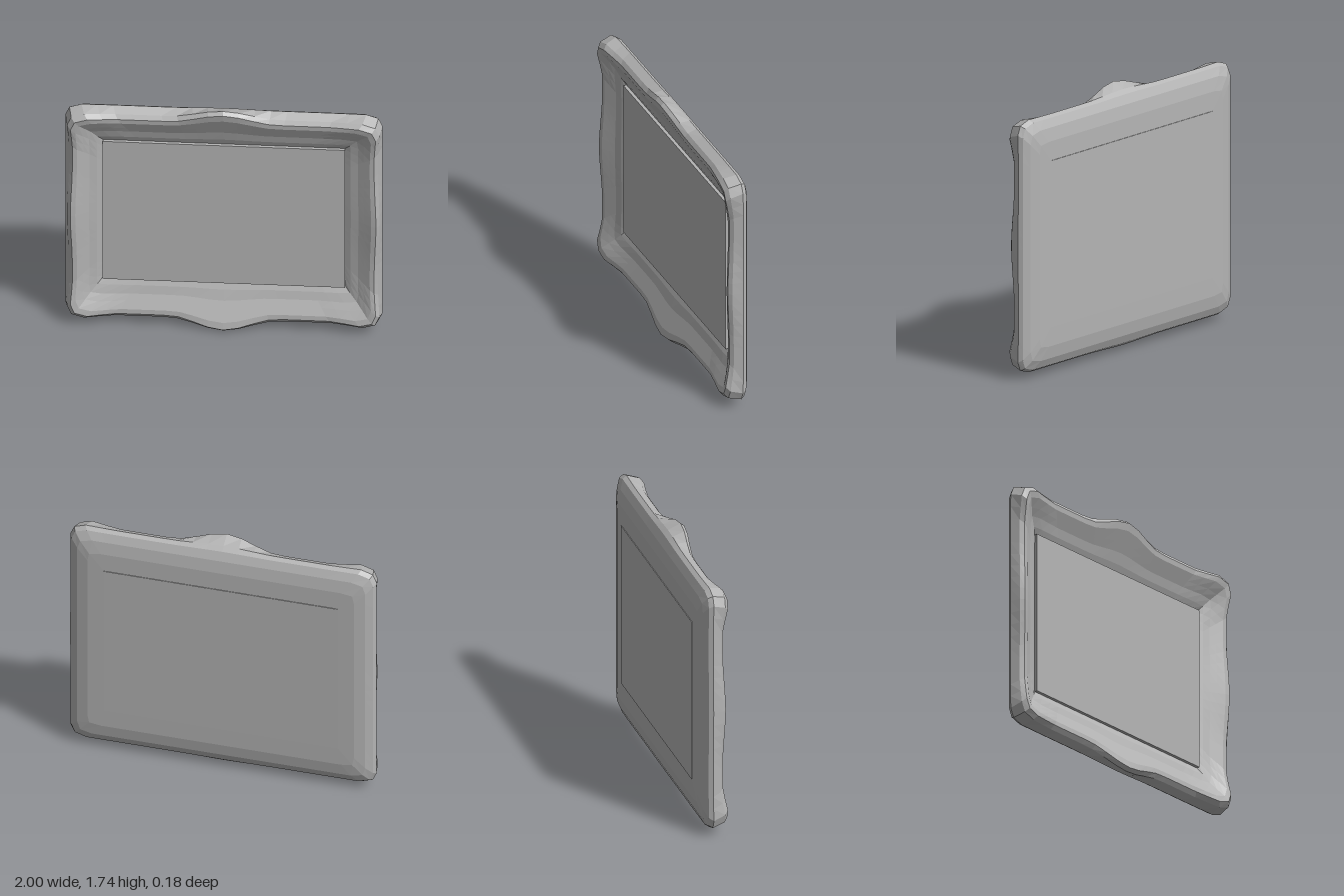
import * as THREE from 'three';

const CENTER_Y = 0.865;
const OUTER = { x: 1.0, y: 0.825 };
const INNER = { x: 0.765, y: 0.545 };
const STEPS = 20; // stations along each side

// Moulding section, back to front: [0 outer .. 1 opening, z, how far it follows the carved bumps]
const PROFILE = [
  [1, -0.09, 0], [0.55, -0.088, 0], [0.25, -0.073, 0], [0.06, -0.048, 0.05], [0, -0.022, 0.15],
  [0.1, 0.035, 0.9], [0.2, 0.055, 1], [0.32, 0.052, 0.8], [0.5, 0.028, 0.5],
  [0.65, 0.008, 0.3], [0.85, -0.008, 0.1], [1.02, -0.03, 0],
];

// Sides in order: bottom, right, top, left, counter-clockwise from the front.
// bump: outward push at the middle, lift: forward push, reach: half length of the bump
const SIDES = [
  { bump: 0.075, lift: 0.035, reach: 0.36 },
  { bump: 0.012, lift: 0.016, reach: 0.5 },
  { bump: 0.085, lift: 0.035, reach: 0.36 },
  { bump: 0.012, lift: 0.016, reach: 0.5 },
];

const ease = (t) => { const c = THREE.MathUtils.clamp(t, 0, 1); return c * c * (3 - 2 * c); };

function framePoint(side, s, [u, z, follow]) {
  const { bump, lift, reach } = SIDES[side];
  const hx = THREE.MathUtils.lerp(OUTER.x, INNER.x, u);
  const hy = THREE.MathUtils.lerp(OUTER.y, INNER.y, u);
  const middle = ease(1 - Math.abs(s) / reach);
  const corner = ease((Math.abs(s) - 0.68) / 0.27);
  const tip = Math.max(0, (Math.abs(s) - 0.93) / 0.07);
  const out = bump * middle * follow + 0.012 * corner * follow - 0.025 * tip * (1 - u);
  let x, y;
  if (side % 2 === 0) {
    const dir = side === 0 ? 1 : -1;
    x = dir * s * (hx - 0.025 * tip * (1 - u));
    y = -dir * (hy + out);
  } else {
    const dir = side === 1 ? 1 : -1;
    x = dir * (hx + out);
    y = dir * s * (hy - 0.025 * tip * (1 - u));
  }
  // corner blocks and carved middles stand proud of the rail
  return [x, y + CENTER_Y, z + follow * (lift * middle + 0.033 * corner)];
}

function frameGeometry() {
  const positions = [];
  const index = [];
  const rows = PROFILE.length;
  const count = SIDES.length * STEPS;
  for (let i = 0; i < count; i++) {
    const side = Math.floor(i / STEPS);
    const k = i % STEPS;
    const s = -1 + (2 * k) / STEPS;
    for (const p of PROFILE) {
      const point = framePoint(side, s, p);
      if (k === 0) { // mitre: average with the end of the previous side
        const other = framePoint((side + 3) % 4, 1, p);
        point.forEach((v, n) => { point[n] = (v + other[n]) / 2; });
      }
      positions.push(...point);
    }
  }
  for (let i = 0; i < count; i++) {
    const next = (i + 1) % count;
    for (let j = 0; j < rows - 1; j++) {
      const a = i * rows + j, b = next * rows + j;
      index.push(a, b, b + 1, a, b + 1, a + 1);
    }
  }
  const geometry = new THREE.BufferGeometry();
  geometry.setAttribute('position', new THREE.Float32BufferAttribute(positions, 3));
  geometry.setIndex(index);
  const flat = geometry.toNonIndexed();
  flat.computeVertexNormals();
  return flat;
}

export function createModel() {
  const group = new THREE.Group();
  group.name = 'pictureFrame';
  const grey = new THREE.MeshStandardMaterial({ color: 0xb4b4b4 });
  grey.name = 'plain grey';

  // Carved moulding
  const frame = new THREE.Mesh(frameGeometry(), grey);
  frame.name = 'carvedFrame';
  group.add(frame);

  // Flat picture panel, just visible at the back as well
  const panel = new THREE.Mesh(new THREE.BoxGeometry(1.53, 1.09, 0.088), grey);
  panel.name = 'picturePanel';
  panel.position.set(0, CENTER_Y, -0.05);
  group.add(panel);

  return group;
}
